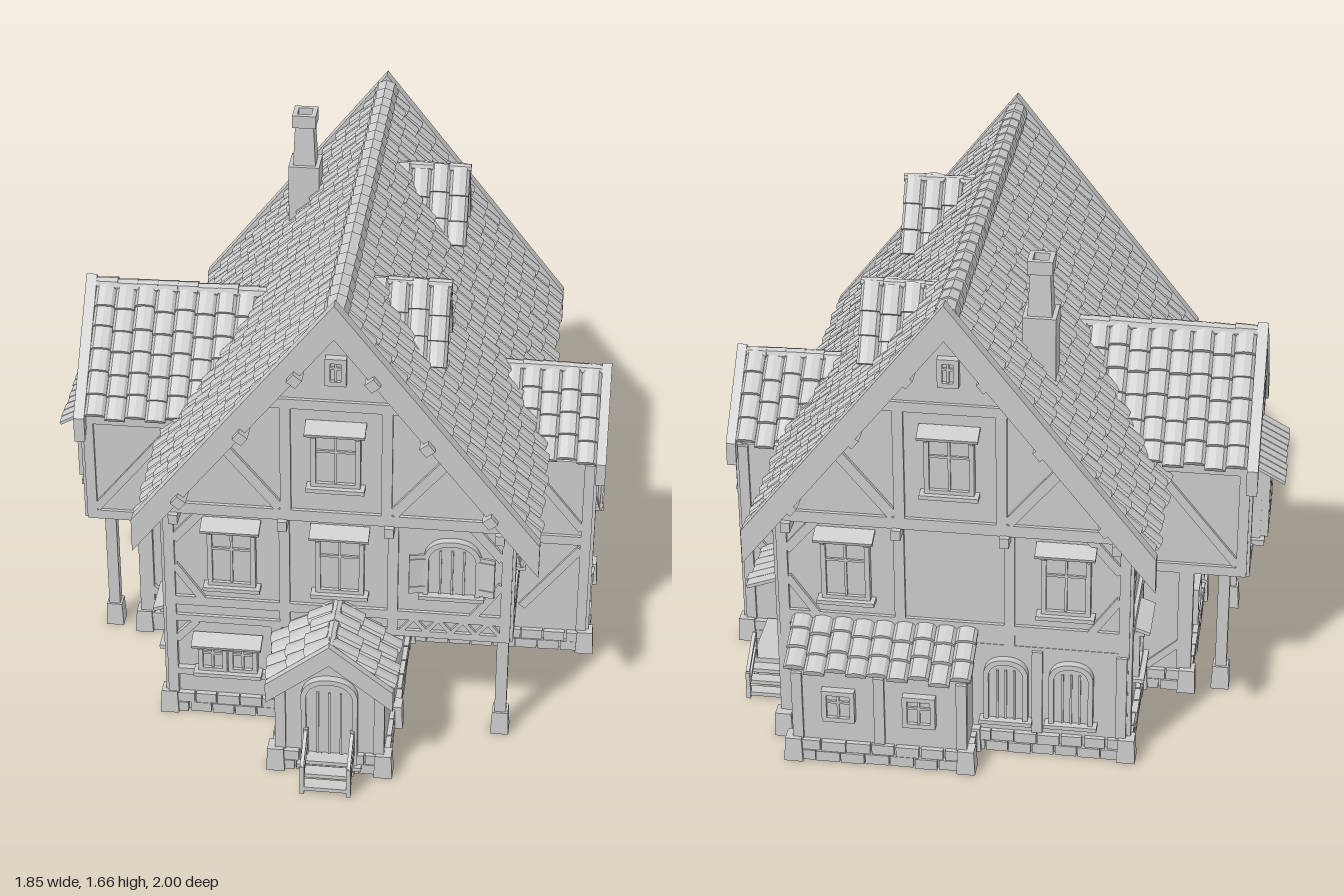
import * as THREE from 'three';
import { mergeGeometries } from 'three/addons/utils/BufferGeometryUtils.js';

const mat = new THREE.MeshStandardMaterial({ color: 0xcccccc, flatShading: true });
const thin = new THREE.MeshStandardMaterial({ color: 0xcccccc, flatShading: true, side: THREE.DoubleSide });
let seed = 7;
const rnd = () => (seed = (seed * 16807) % 2147483647) / 2147483647;

function group(parent, name, x = 0, y = 0, z = 0, ry = 0) {
  const g = new THREE.Group();
  g.name = name; g.position.set(x, y, z); g.rotation.y = ry;
  parent.add(g);
  return g;
}
function mesh(parent, name, geo, x = 0, y = 0, z = 0, m = mat) {
  const o = new THREE.Mesh(geo, m);
  o.name = name; o.position.set(x, y, z);
  parent.add(o);
  return o;
}
function box(parent, name, w, h, d, x, y, z, rx = 0, ry = 0, rz = 0) {
  const o = mesh(parent, name, new THREE.BoxGeometry(w, h, d), x, y, z);
  o.rotation.set(rx, ry, rz);
  return o;
}
const poly = pts => new THREE.Shape(pts.map(p => new THREE.Vector2(...p)));
const extrude = (shape, depth) => new THREE.ExtrudeGeometry(shape, { depth, bevelEnabled: false, curveSegments: 8 });

// Overlapping arched tiles: columns along x, running downhill along +z, slightly uneven
function tileSlope(W, S) {
  const cols = Math.max(2, Math.round(W / 0.066)), rows = Math.max(2, Math.round(S / 0.078));
  const w = W / cols, len = S / rows, pts = [[-w / 2, -0.004], [w / 2, -0.004]];
  for (let i = 0; i <= 4; i++) pts.push([w / 2 * Math.cos(i * Math.PI / 4), 0.005 + 0.014 * Math.sin(i * Math.PI / 4)]);
  const tile = extrude(poly(pts), len * 1.15).rotateX(-0.19), out = [];
  for (let c = 0; c < cols; c++) {
    const shift = (c % 2 ? 0.006 : -0.006) + (rnd() - 0.5) * 0.008;
    for (let r = 0; r < rows; r++)
      out.push(tile.clone().translate(-W / 2 + (c + 0.5) * w, rnd() * 0.004, r * len + shift + (rnd() - 0.5) * 0.01));
  }
  return mergeGeometries(out);
}

// Gabled roof, ridge along local z with its apex at the group origin
function gableRoof(parent, name, x, y, z, ry, L, half, rise, ends, board, lift, cap) {
  const g = group(parent, name, x, y, z, ry), m = rise / half, A = Math.atan(m), S = Math.hypot(half, rise);
  const chevron = (a, b, H) => poly([[0, a], [-H, a - H * m], [-H, b - H * m], [0, b], [H, b - H * m], [H, a - H * m]]);
  mesh(g, 'roofDeck', extrude(chevron(0.003, -0.035, half - 0.01), L), 0, 0, -L / 2);
  for (const s of [-1, 1]) mesh(g, 'roofTiles', tileSlope(L, S).rotateX(A).rotateY(s * Math.PI / 2));
  const t = lift / Math.cos(A);
  for (const e of ends)
    mesh(g, 'bargeboard', extrude(chevron(t, -0.035 / Math.cos(A), half + board * 0.8), board), 0, 0, e * (L / 2 + board / 2) - board / 2);
  const n = Math.round(L / 0.066);
  for (let i = 0; i < n; i++)
    mesh(g, 'ridgeTile', new THREE.CylinderGeometry(cap * 0.85, cap, L / n * 1.1, 8).rotateX(Math.PI / 2), 0, rnd() * 0.004, -L / 2 + (i + 0.5) * L / n);
}

// Upright open wall shell over a closed plan outline of [x, z] corners
function shell(parent, name, plan, h, y = 0) {
  const pos = [], idx = [];
  plan.forEach((p, i) => {
    const q = plan[(i + 1) % plan.length], k = i * 4;
    pos.push(p[0], 0, p[1], q[0], 0, q[1], q[0], h, q[1], p[0], h, p[1]);
    idx.push(k, k + 1, k + 2, k, k + 2, k + 3);
  });
  const geo = new THREE.BufferGeometry();
  geo.setAttribute('position', new THREE.Float32BufferAttribute(pos, 3));
  geo.setIndex(idx); geo.computeVertexNormals();
  mesh(parent, name, geo, 0, y, 0, thin);
}

// Two courses of bricks along a wall foot
function brickRow(parent, x1, z1, x2, z2) {
  const len = Math.hypot(x2 - x1, z2 - z1), a = -Math.atan2(z2 - z1, x2 - x1), n = Math.max(1, Math.round(len / 0.075)), out = [];
  for (let r = 0; r < 2; r++) for (let i = 0; i < n; i++) {
    const t = (i + 0.5 + (r ? 0.12 : -0.12)) / n;
    out.push(new THREE.BoxGeometry(len / n * (0.88 + rnd() * 0.1), 0.036, 0.028 + rnd() * 0.012).rotateY(a)
      .translate(x1 + (x2 - x1) * t, 0.019 + r * 0.039, z1 + (z2 - z1) * t));
  }
  mesh(parent, 'brickFooting', mergeGeometries(out));
}
const stone = (p, x, z) => mesh(p, 'cornerStone', new THREE.CylinderGeometry(0.037, 0.043, 0.085, 4).rotateY(Math.PI / 4), x, 0.0425, z);

// Facade parts: u across, v up, local +z outward
function beam(g, u1, v1, u2, v2, w = 0.034, d = 0.024) {
  box(g, 'timber', Math.hypot(u2 - u1, v2 - v1), w, d, (u1 + u2) / 2, (v1 + v2) / 2, 0, 0, 0, Math.atan2(v2 - v1, u2 - u1));
}
const beams = (g, list) => list.forEach(b => beam(g, ...b));
function squareWindow(parent, u, v, w, h, hood = true) {
  const g = group(parent, 'window', u, v, 0.008), t = 0.016;
  box(g, 'pane', w, h, 0.012, 0, 0, 0);
  for (const s of [-1, 1]) {
    box(g, 'frame', t, h, 0.03, s * w / 2, 0, 0.003);
    box(g, 'frame', w + t, t, 0.03, 0, s * h / 2, 0.003);
  }
  box(g, 'mullion', 0.008, h, 0.02, 0, 0, 0.003);
  box(g, 'mullion', w, 0.008, 0.02, 0, h * 0.15, 0.003);
  if (!hood) return;
  box(g, 'sill', w + 0.045, 0.014, 0.05, 0, -h / 2 - 0.012, 0.01);
  box(g, 'hood', w + 0.05, 0.012, 0.06, 0, h / 2 + 0.022, 0.022, 0.35);
  for (const s of [-1, 1]) box(g, 'hoodBracket', 0.012, 0.03, 0.035, s * w / 2, h / 2 + 0.006, 0.015);
}
function arch(w, h) {
  const s = new THREE.Shape();
  s.moveTo(-w / 2, 0); s.lineTo(w / 2, 0); s.lineTo(w / 2, h - w * 0.35);
  s.quadraticCurveTo(w * 0.42, h, 0, h); s.quadraticCurveTo(-w * 0.42, h, -w / 2, h - w * 0.35);
  return s;
}
function archOpening(parent, name, u, v, w, h, shutters = false) {
  const g = group(parent, name, u, v, 0), ring = arch(w + 0.032, h + 0.018);
  ring.holes.push(arch(w, h));
  mesh(g, 'archFrame', extrude(ring, 0.025));
  mesh(g, 'panel', extrude(arch(w, h), 0.012));
  for (const f of [-0.25, 0, 0.25]) box(g, 'mullion', 0.007, h * 0.88, 0.01, f * w, h * 0.44, 0.013);
  box(g, 'sill', w + 0.06, 0.014, 0.045, 0, -0.007, 0.015);
  const lw = w * 0.34;
  if (shutters) for (const s of [-1, 1]) {
    const leaf = group(g, 'shutter', s * (w / 2 + 0.012), h * 0.42, 0.02, -s * 0.2);
    box(leaf, 'shutterLeaf', lw, h * 0.78, 0.008, s * lw / 2, 0, 0);
    for (const k of [-1, 1]) box(leaf, 'shutterRail', lw, 0.012, 0.014, s * lw / 2, k * h * 0.28, 0);
  }
}
function zigzag(g, u1, u2, v1, v2, n) {
  const s = (u2 - u1) / n;
  for (let i = 0; i < n; i++) beams(g, [[u1 + i * s, v1, u1 + (i + 0.5) * s, v2, 0.014], [u1 + (i + 0.5) * s, v2, u1 + (i + 1) * s, v1, 0.014]]);
}
// Main gable framing, centred on the ridge
function mainGable(parent, name, z, ry) {
  const g = group(parent, name, 0.08, 0, z, ry);
  beams(g, [[-0.56, 0.845, 0.56, 0.845, 0.04], [-0.24, 1.26, 0.24, 1.26]]);
  for (const s of [-1, 1]) {
    beams(g, [[s * 0.16, 0.86, s * 0.16, 1.25], [s * 0.18, 0.87, s * 0.36, 1.09], [0, 1.545, s * 0.57, 0.825, 0.03]]);
    for (const [u, v] of [[0.12, 1.39], [0.29, 1.17], [0.49, 0.915]]) box(g, 'purlin', 0.035, 0.035, 0.1, s * u, v, 0.04, 0, 0, -s * 0.9);
    for (const u of [0.17, 0.52]) box(g, 'joistEnd', 0.03, 0.035, 0.06, s * u, 0.81, 0);
  }
  squareWindow(g, 0, 1.07, 0.14, 0.19);
  squareWindow(g, 0, 1.39, 0.05, 0.08, false);
}

export function createModel() {
  const house = new THREE.Group(); house.name = 'timberHouse';
  const Q = Math.PI / 2;

  // Wall volumes
  const main = [[-0.48, 0.6], [0.27, 0.6], [0.27, 0.13], [0.88, 0.12], [0.88, -0.29], [0.64, -0.29], [0.64, -0.82],
    [-0.48, -0.82], [-0.48, -0.4], [-0.64, -0.4], [-0.64, 0.17], [-0.48, 0.17]];
  const porch = [[-0.09, 0.6], [-0.09, 0.86], [0.26, 0.86], [0.26, 0.6]];
  const leanTo = [[0.58, -0.82], [0.58, -0.95], [0.02, -0.95], [0.02, -0.82]];
  shell(house, 'groundFloorWalls', main, 0.46);
  shell(house, 'porchWalls', porch, 0.36);
  shell(house, 'leanToWalls', leanTo, 0.36);
  shell(house, 'upperFloorWalls', [[-0.48, 0.61], [0.64, 0.61], [0.64, -0.81], [-0.48, -0.81]], 0.46, 0.38);
  box(house, 'verandaCeiling', 0.37, 0.02, 0.48, 0.455, 0.39, 0.37);
  mesh(house, 'mainGableWalls', extrude(poly([[-0.565, 0.825], [0.565, 0.825], [0, 1.55]]), 1.48), 0.08, 0, -0.84);
  const wall = (name, x, z, ry, half, y0, eave, peak, len) =>
    mesh(group(house, name, x, 0, z, ry), name, extrude(poly([[-half, y0], [half, y0], [half, eave], [0, peak], [-half, eave]]), len), 0, 0, -len);
  wall('leftWing', -0.82, -0.11, -Q, 0.285, 0.46, 0.865, 1.18, 0.345);
  wall('rightWing', 0.88, -0.085, Q, 0.205, 0.455, 0.765, 0.985, 0.245);
  wall('porchGable', 0.085, 0.86, 0, 0.175, 0.34, 0.345, 0.475, 0.26);

  // Footing
  for (const plan of [main, porch, leanTo]) plan.forEach((p, i) => {
    const q = plan[(i + 1) % plan.length];
    if (plan === main || i < 3) brickRow(house, ...p, ...q);
    stone(house, ...p);
  });
  for (const [x, z, h] of [[0.62, 0.59, 0.39], [-0.75, 0.14, 0.47], [-0.75, -0.36, 0.47]]) {
    stone(house, x, z);
    box(house, 'supportPost', 0.038, h - 0.08, 0.038, x, (h + 0.08) / 2, z);
  }

  // Roofs
  gableRoof(house, 'mainRoof', 0.08, 1.59, -0.11, 0, 1.56, 0.615, 0.785, [-1, 1], 0.04, 0.038, 0.042);
  gableRoof(house, 'leftWingRoof', -0.505, 1.205, -0.11, -Q, 0.61, 0.3, 0.335, [1], 0.036, 0.025, 0.026);
  gableRoof(house, 'rightWingRoof', 0.69, 1.0, -0.085, Q, 0.39, 0.207, 0.225, [1], 0.032, 0.02, 0.022);
  gableRoof(house, 'porchRoof', 0.085, 0.488, 0.71, 0, 0.32, 0.185, 0.148, [1], 0.025, 0.022, 0.02);
  for (const z of [0.28, -0.51]) {
    const d = group(house, 'dormer', 0.36, 0, z, Q);
    mesh(d, 'dormerWall', extrude(poly([[-0.11, 1.26], [0.11, 1.26], [0, 1.485]]), 0.28), 0, 0, -0.28);
    squareWindow(d, 0, 1.36, 0.05, 0.075, false);
    beams(d, [[-0.1, 1.285, 0.1, 1.285, 0.02]]);
    gableRoof(house, 'dormerRoof', 0.272, 1.502, z, Q, 0.26, 0.112, 0.22, [], 0, 0, 0.018);
  }
  const lean = group(house, 'leanToRoof', 0.3, 0.45, -0.8, Math.PI);
  mesh(lean, 'roofTiles', tileSlope(0.6, 0.2).rotateX(0.55));
  box(lean, 'roofDeck', 0.59, 0.02, 0.19, 0, -0.057, 0.075, 0.55);

  // Chimney
  const ch = group(house, 'chimney', -0.165, 0, -0.57);
  box(ch, 'chimneyBase', 0.105, 0.38, 0.105, 0, 1.28, 0);
  mesh(ch, 'chimneyShaft', new THREE.CylinderGeometry(0.044, 0.055, 0.16, 4).rotateY(Math.PI / 4), 0, 1.54, 0);
  for (const s of [-1, 1]) {
    box(ch, 'chimneyRim', 0.08, 0.045, 0.016, 0, 1.634, s * 0.032);
    box(ch, 'chimneyRim', 0.016, 0.045, 0.08, s * 0.032, 1.634, 0);
  }

  // Front and back facades
  mainGable(house, 'frontGable', 0.64, 0);
  mainGable(house, 'backGable', -0.84, Math.PI);
  const front = group(house, 'frontFacade', 0.08, 0, 0.61), back = group(house, 'backFacade', 0.08, 0, -0.81, Math.PI);
  for (const g of [front, back]) {
    beams(g, [[-0.56, 0.46, 0.56, 0.46], [-0.56, 0.39, 0.56, 0.39, 0.025]]);
    for (const u of [-0.545, -0.17, 0.18, 0.545]) beam(g, u, 0.38, u, 0.83);
    for (const s of [-1, 1]) beams(g, [[s * 0.53, 0.7, s * 0.43, 0.82, 0.03], [s * 0.53, 0.6, s * 0.44, 0.47, 0.025]]);
  }
  squareWindow(front, -0.34, 0.65, 0.14, 0.21);
  squareWindow(front, 0.01, 0.65, 0.14, 0.21);
  archOpening(front, 'archWindow', 0.37, 0.56, 0.15, 0.19, true);
  zigzag(front, 0.21, 0.53, 0.4, 0.45, 4);
  squareWindow(front, -0.41, 0.245, 0.08, 0.1);
  squareWindow(front, -0.31, 0.245, 0.08, 0.1);
  beams(front, [[-0.545, 0.08, -0.545, 0.39], [-0.545, 0.17, -0.19, 0.17, 0.025], [-0.2, 0.08, -0.2, 0.39], [-0.53, 0.3, -0.46, 0.38, 0.025]]);
  squareWindow(back, -0.34, 0.65, 0.14, 0.21);
  squareWindow(back, 0.36, 0.65, 0.14, 0.21);
  const backLow = group(house, 'backGroundFloor', 0, 0, -0.82, Math.PI);
  for (const u of [0.09, 0.3]) archOpening(backLow, 'archWindow', u, 0.13, 0.11, 0.21);
  for (const u of [0.19, 0.46]) beam(backLow, u, 0.08, u, 0.39);
  const leanWall = group(house, 'leanToFacade', 0, 0, -0.95, Math.PI);
  for (const u of [-0.565, -0.3, -0.035]) beam(leanWall, u, 0.08, u, 0.33);
  for (const u of [-0.43, -0.17]) squareWindow(leanWall, u, 0.22, 0.09, 0.1, false);

  // Right and left facades
  const right = group(house, 'rightFacade', 0.64, 0, 0, Q), left = group(house, 'leftFacade', -0.48, 0, 0, -Q);
  beams(right, [[-0.61, 0.46, 0.81, 0.46], [-0.61, 0.39, 0.81, 0.39, 0.025], [-0.16, 0.39, -0.16, 0.82], [0.31, 0.08, 0.31, 0.82],
    [0.8, 0.08, 0.8, 0.82], [-0.595, 0.39, -0.595, 0.82], [0.78, 0.62, 0.64, 0.8], [-0.58, 0.62, -0.47, 0.8], [-0.18, 0.5, -0.3, 0.78, 0.025], [0.33, 0.7, 0.43, 0.8]]);
  zigzag(right, -0.58, -0.17, 0.4, 0.45, 4);
  archOpening(right, 'archWindow', -0.385, 0.57, 0.095, 0.19, true);
  archOpening(right, 'archWindow', 0.54, 0.57, 0.095, 0.19, true);
  beams(left, [[-0.81, 0.46, 0.61, 0.46], [-0.8, 0.08, -0.8, 0.82], [0.595, 0.08, 0.595, 0.82], [0.36, 0.08, 0.36, 0.82],
    [0.38, 0.5, 0.57, 0.78], [-0.78, 0.62, -0.62, 0.8], [-0.45, 0.08, -0.45, 0.82]]);
  squareWindow(left, -0.64, 0.33, 0.13, 0.16);
  squareWindow(left, 0.47, 0.28, 0.1, 0.13);

  // Right wing framing
  const rw = group(house, 'rightWingFacade', 0.88, 0, -0.085, Q);
  beams(rw, [[-0.2, 0.455, 0.2, 0.455, 0.04], [-0.2, 0.77, 0.2, 0.77], [-0.16, 0.1, 0.16, 0.42, 0.028], [-0.16, 0.42, 0.16, 0.1, 0.028]]);
  for (const s of [-1, 1]) beams(rw, [[s * 0.19, 0.08, s * 0.19, 0.77], [s * 0.17, 0.63, s * 0.09, 0.76, 0.025], [s * 0.17, 0.47, s * 0.12, 0.53, 0.025]]);
  archOpening(rw, 'archWindow', 0, 0.52, 0.14, 0.19, true);
  squareWindow(rw, 0, 0.87, 0.05, 0.07, false);
  for (const [z, ry, s] of [[0.12, 0, 1], [-0.29, Math.PI, -1]]) {
    const g = group(house, 'rightWingSide', 0.76, 0, z, ry);
    beams(g, [[-0.12, 0.455, 0.12, 0.455], [s * 0.105, 0.08, s * 0.105, 0.76], [-s * 0.1, 0.17, s * 0.09, 0.42, 0.028], [-s * 0.1, 0.74, s * 0.09, 0.5, 0.028]]);
  }
  const veranda = group(house, 'verandaWall', 0, 0, 0.13);
  squareWindow(veranda, 0.45, 0.24, 0.05, 0.075, false);

  // Left wing framing, bay window and awning
  const lw = group(house, 'leftWingFacade', -0.82, 0, -0.11, -Q);
  beams(lw, [[-0.285, 0.475, 0.285, 0.475, 0.04], [-0.285, 0.87, 0.285, 0.87]]);
  for (const s of [-1, 1]) beams(lw, [[s * 0.27, 0.46, s * 0.27, 0.87], [s * 0.1, 0.89, s * 0.1, 1.05, 0.025], [s * 0.265, 0.68, s * 0.19, 0.86, 0.025]]);
  squareWindow(lw, 0, 0.98, 0.07, 0.1, false);
  box(lw, 'bayWindow', 0.26, 0.28, 0.04, 0, 0.64, 0.015);
  for (const s of [-1, 1]) squareWindow(group(lw, 'bayCasement', 0, 0, 0.035), s * 0.065, 0.64, 0.11, 0.23, false);
  box(lw, 'baySill', 0.29, 0.02, 0.05, 0, 0.5, 0.025);
  for (let i = 0; i < 9; i++) box(lw, 'awningSlat', 0.036, 0.01, 0.12 + rnd() * 0.015, -0.16 + i * 0.04, 0.785, 0.05, 0.5);
  for (const [z, ry, s] of [[0.175, 0, 1], [-0.395, Math.PI, -1]]) {
    const g = group(house, 'leftWingSide', -0.65, 0, z, ry);
    beams(g, [[-0.17, 0.475, 0.17, 0.475], [-0.17, 0.855, 0.17, 0.855], [-s * 0.155, 0.46, -s * 0.155, 0.86], [-s * 0.14, 0.5, s * 0.1, 0.8, 0.028],
      [s * 0.03, 0.08, s * 0.03, 0.46], [s * 0.04, 0.18, s * 0.15, 0.08, 0.025]]);
    box(g, 'crossBeam', 0.3, 0.03, 0.03, 0, 0.45, -0.04);
  }
  const bay = group(house, 'leftBayGround', -0.64, 0, -0.11, -Q);
  beams(bay, [[-0.28, 0.08, -0.28, 0.46], [0.28, 0.08, 0.28, 0.46], [0, 0.08, 0, 0.46]]);
  for (const s of [-1, 1]) squareWindow(bay, s * 0.14, 0.27, 0.12, 0.12, false);

  // Porch door, timbers and steps
  const pf = group(house, 'porchFront', 0.085, 0, 0.86);
  archOpening(pf, 'frontDoor', 0, 0.04, 0.15, 0.32);
  for (const s of [-1, 1]) {
    beam(pf, s * 0.16, 0.08, s * 0.16, 0.36);
    const rail = group(house, 'stepRail', 0.085 + s * 0.075, 0, 0);
    box(rail, 'railPost', 0.014, 0.11, 0.014, 0, 0.055, 0.99);
    box(rail, 'railPost', 0.014, 0.18, 0.014, 0, 0.09, 0.885);
    for (const y of [0.09, 0.14]) box(rail, 'handrail', 0.012, 0.014, 0.13, 0, y, 0.935, 0.55);
  }
  for (let i = 0; i < 3; i++) box(house, 'frontStep', 0.16, 0.014, 0.045, 0.085, 0.07 - i * 0.024, 0.9 + i * 0.037);

  // Side door with landing, steps and board canopy
  const sd = group(house, 'sideEntrance', 0.64, 0, -0.42, Q);
  box(sd, 'sideDoor', 0.2, 0.28, 0.02, 0, 0.22, 0.005);
  for (const u of [-0.1, 0, 0.1]) box(sd, 'doorPost', 0.018, 0.28, 0.035, u, 0.22, 0.01);
  for (const u of [-0.05, 0.05]) box(sd, 'doorGlass', 0.05, 0.09, 0.03, u, 0.29, 0.005);
  for (let i = 0; i < 6; i++) box(sd, 'canopyBoard', 0.04, 0.012, 0.18 + rnd() * 0.03, -0.105 + i * 0.042, 0.4, 0.085, 0.35);
  box(sd, 'landing', 0.24, 0.02, 0.17, 0, 0.075, 0.085);
  for (let i = 0; i < 3; i++) box(sd, 'sideStep', 0.04, 0.014, 0.15, 0.14 + i * 0.036, 0.06 - i * 0.022, 0.09);
  for (const w of [0.015, 0.16]) {
    box(sd, 'railPost', 0.014, 0.18, 0.014, 0.115, 0.09, w);
    box(sd, 'railPost', 0.014, 0.1, 0.014, 0.23, 0.05, w);
    for (const y of [0.09, 0.14]) box(sd, 'handrail', 0.14, 0.014, 0.012, 0.172, y, w, 0, 0, -0.6);
  }
  return house;
}
